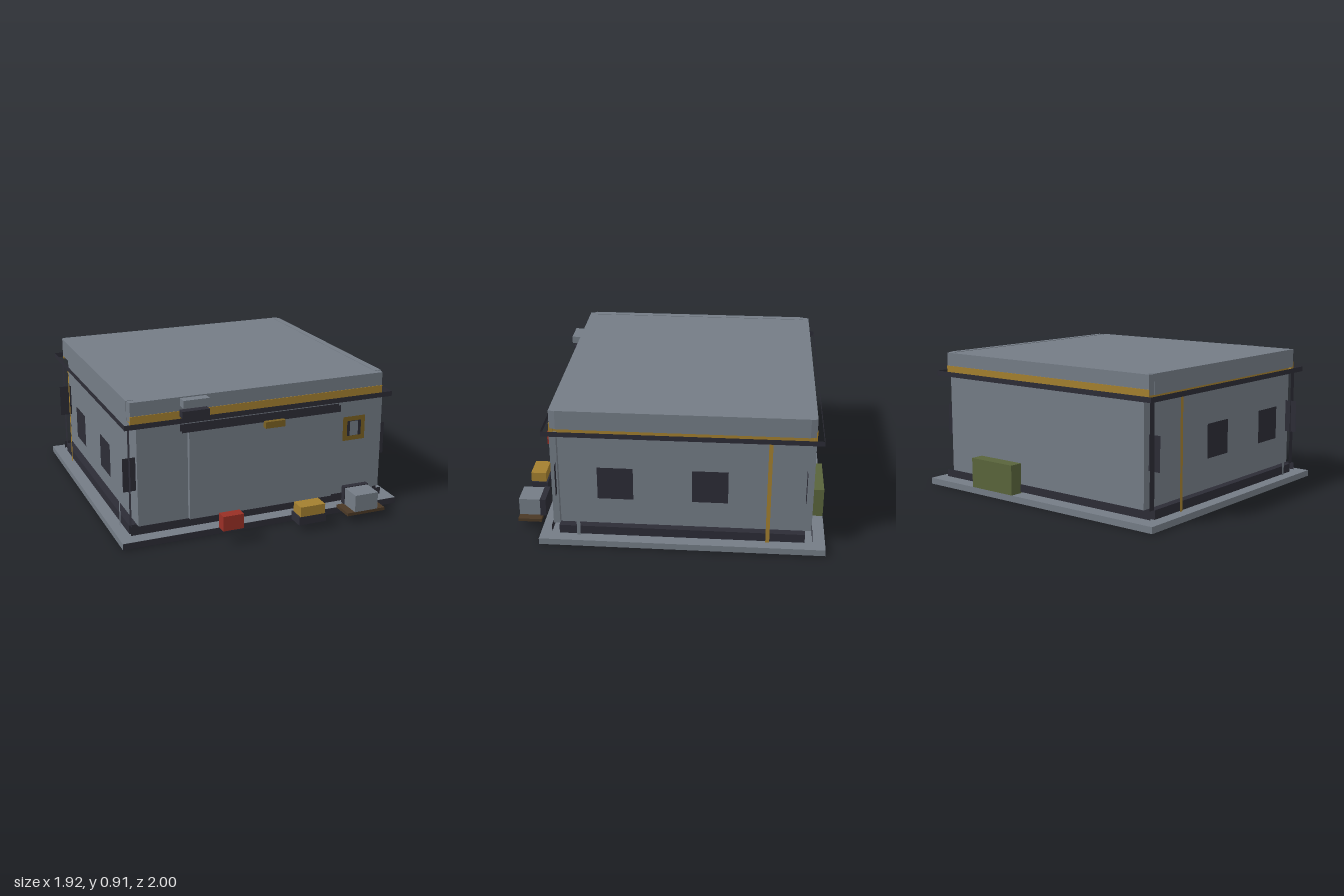
import * as THREE from 'three';

const mat = (name, color, side = THREE.FrontSide) => {
  const m = new THREE.MeshStandardMaterial({ color, side });
  m.name = name;
  return m;
};

export function createModel() {
  const model = new THREE.Group();
  model.name = 'utilityBuilding';
  const grey = mat('slate grey', 0x747c86, THREE.DoubleSide);
  const dark = mat('charcoal', 0x2c2c36, THREE.DoubleSide);
  const yellow = mat('yellow', 0xa37f2f, THREE.DoubleSide);
  const ochre = mat('ochre', 0x7b6122, THREE.DoubleSide);
  const red = mat('red', 0x992f25);
  const olive = mat('olive', 0x59643b);
  const brown = mat('brown', 0x4a3825);

  const add = (name, geometry, material, x, y, z) => {
    const mesh = new THREE.Mesh(geometry, material);
    mesh.position.set(x, y, z);
    mesh.name = name;
    model.add(mesh);
  };
  // Box given by its min and max on each axis
  const box = (name, material, x0, x1, y0, y1, z0, z1) =>
    add(name, new THREE.BoxGeometry(x1 - x0, y1 - y0, z1 - z0), material, (x0 + x1) / 2, (y0 + y1) / 2, (z0 + z1) / 2);
  // Sheet facing front or back (constant z)
  const sheetZ = (name, material, z, x0, x1, y0, y1) =>
    add(name, new THREE.PlaneGeometry(x1 - x0, y1 - y0), material, (x0 + x1) / 2, (y0 + y1) / 2, z);
  // Sheet facing sideways (constant x)
  const sheetX = (name, material, x, y0, y1, z0, z1) =>
    add(name, new THREE.PlaneGeometry(z1 - z0, y1 - y0).rotateY(Math.sign(x) * Math.PI / 2), material, x, (y0 + y1) / 2, (z0 + z1) / 2);
  // The same sideways sheet on both sides
  const pairX = (name, material, x, ...rest) => {
    sheetX(name + 'Left', material, x, ...rest);
    sheetX(name + 'Right', material, -x, ...rest);
  };

  // Ground slab with a dark front edge
  box('slab', grey, -0.96, 0.96, 0, 0.042, -1, 0.828);
  sheetZ('slabFrontTrim', dark, 0.83, -0.96, 0.96, 0, 0.042);

  // Plinth
  box('plinth', dark, -0.88, 0.88, 0.042, 0.1, -0.87, 0.705);
  sheetZ('plinthFrontStrip', dark, 0.753, -0.885, 0.885, 0.05, 0.1);
  sheetZ('plinthBackStrip', dark, -0.918, -0.885, 0.885, 0.05, 0.1);

  // Body
  box('body', grey, -0.83, 0.83, 0.1, 0.757, -0.912, 0.742);

  // Corner posts
  box('frontCornerPost', grey, 0.825, 0.87, 0.11, 0.755, 0.7, 0.742);
  for (const [z0, z1] of [[0.7, 0.742], [-0.912, -0.868]]) {
    sheetX('darkCornerPlate', dark, -0.874, 0.1, 0.755, z0, z1);
  }

  // Side windows, pilaster and stripe standing off the wall
  for (const z of [0.33, -0.265]) {
    pairX('sideWindow', dark, 0.913, 0.33, 0.55, z - 0.113, z + 0.113);
  }
  pairX('pilaster', grey, 0.9, 0.045, 0.757, 0.565, 0.588);
  pairX('sideStripe', yellow, 0.9, 0.045, 0.757, -0.645, -0.62);

  // Thin fins at the corners
  for (const z of [0.71, -0.865]) {
    sheetZ('cornerFinLeft', dark, z, 0.83, 0.914, 0.33, 0.55);
    sheetZ('cornerFinRight', dark, z, -0.914, -0.83, 0.33, 0.55);
  }

  // Yellow band under the roof
  box('yellowBandSides', yellow, -0.842, 0.842, 0.75, 0.8, -0.89, 0.72);
  box('yellowBandFront', yellow, -0.865, 0.865, 0.757, 0.822, 0.72, 0.743);
  box('yellowBandBack', yellow, -0.865, 0.865, 0.757, 0.822, -0.912, -0.89);

  // Rail ring of thin strips standing off the walls
  pairX('sideRail', dark, 0.915, 0.755, 0.788, -0.955, 0.785);
  sheetZ('frontRail', dark, 0.785, -0.915, 0.915, 0.755, 0.788);
  sheetZ('backRail', dark, -0.955, -0.915, 0.915, 0.755, 0.788);

  // Roof with clipped corners and side panels
  const w = 0.874, f = 0.739, b = -0.908;
  const outline = [
    [-w + 0.01, f], [w - 0.01, f], [w, f - 0.04], [w, b + 0.04],
    [w - 0.01, b], [-w + 0.01, b], [-w, b + 0.04], [-w, f - 0.04],
  ].map(([x, z]) => new THREE.Vector2(x, -z));
  const roofGeometry = new THREE.ExtrudeGeometry(new THREE.Shape(outline), { depth: 0.122, bevelEnabled: false });
  roofGeometry.rotateX(-Math.PI / 2);
  add('roof', roofGeometry, grey, 0, 0.788, 0);
  box('roofSidePanelLeft', grey, 0.83, 0.876, 0.788, 0.913, -0.868, 0.697);
  box('roofSidePanelRight', grey, -0.876, -0.83, 0.788, 0.913, -0.868, 0.697);

  // Front door, header strips and lamp
  box('door', grey, -0.5, 0.5, 0.105, 0.69, 0.74, 0.772);
  for (const z of [0.746, 0.778]) {
    sheetZ('doorHeader', dark, z, -0.55, 0.545, 0.69, 0.735);
  }
  box('doorLamp', ochre, 0, 0.135, 0.655, 0.698, 0.768, 0.808);

  // Boxes on the roof edge
  box('roofUnit', grey, -0.545, -0.375, 0.853, 0.903, 0.735, 0.8);
  box('roofUnitBracket', dark, -0.55, -0.37, 0.788, 0.83, 0.737, 0.79);

  // Front hatch
  sheetZ('hatchFrame', ochre, 0.745, 0.583, 0.745, 0.47, 0.635);
  sheetZ('hatchOpening', dark, 0.748, 0.613, 0.715, 0.502, 0.605);
  sheetZ('hatchGlass', grey, 0.751, 0.632, 0.692, 0.504, 0.603);

  // Crates and equipment outside
  box('redCrate', red, -0.367, -0.23, 0.097, 0.194, 0.93, 1);
  box('yellowCrateBase', dark, 0.155, 0.345, 0.045, 0.102, 0.885, 0.998);
  box('yellowCrate', yellow, 0.163, 0.335, 0.102, 0.168, 0.897, 1);
  box('pallet', brown, 0.503, 0.775, 0.05, 0.07, 0.845, 1);
  box('equipmentBox', grey, 0.555, 0.72, 0.07, 0.185, 0.86, 1);
  box('equipmentBack', dark, 0.55, 0.727, 0.07, 0.19, 0.822, 0.86);
  box('backContainer', olive, 0.18, 0.545, 0.042, 0.24, -1, -0.912);

  return model;
}
